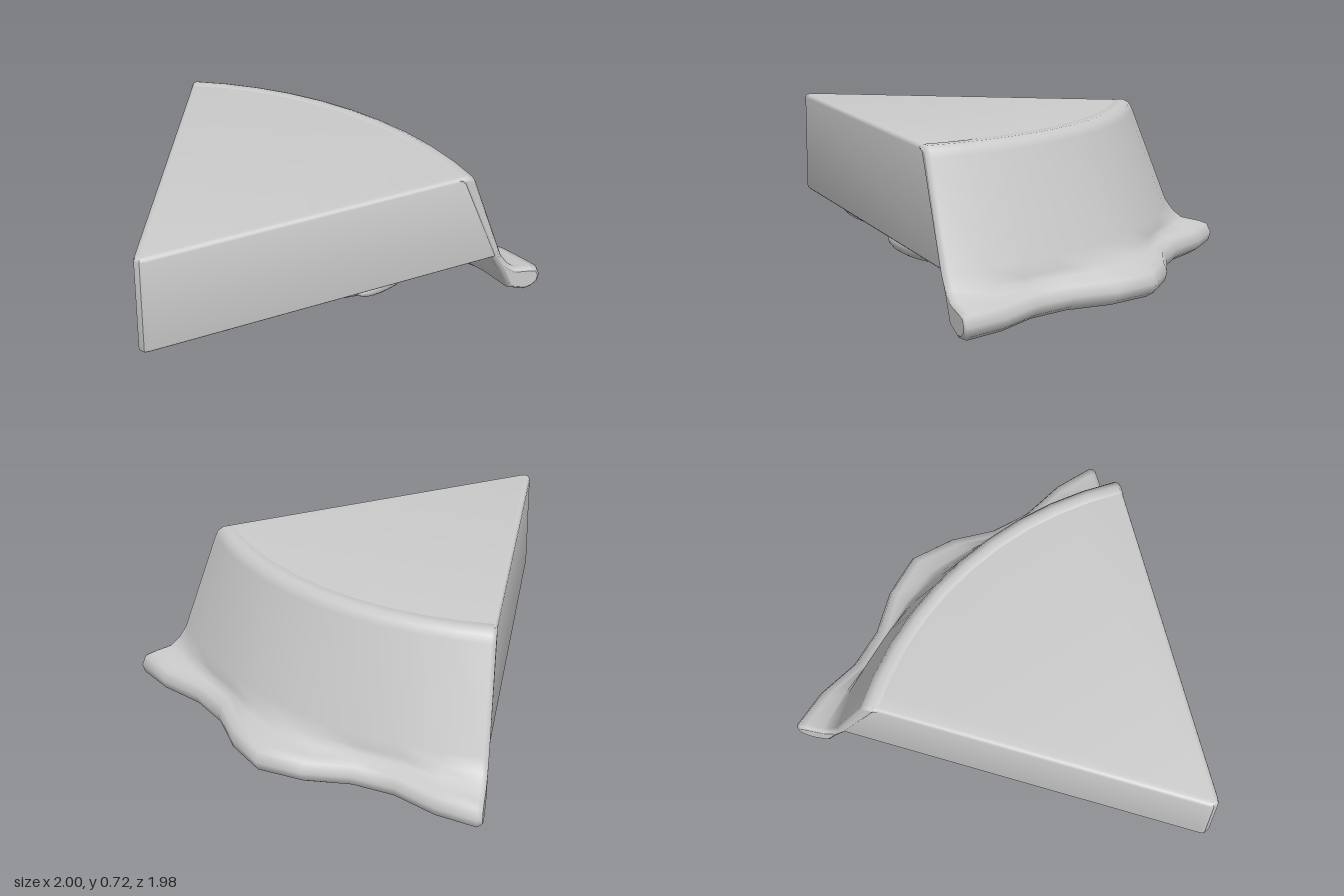
import * as THREE from 'three';
import { toCreasedNormals } from 'three/addons/utils/BufferGeometryUtils.js';

const TIP = -1; // x of the wedge's point, the centre of all arcs
const HALF = Math.PI / 6;
const material = new THREE.MeshStandardMaterial({ color: 0xcccccc });

function addMesh(parent, name, geometry) {
  const mesh = new THREE.Mesh(geometry, material);
  mesh.name = name;
  parent.add(mesh);
  return mesh;
}

// Wedge with soft edges; its outer wall leans out towards the bottom
function fillingGeometry() {
  const R = 1.55, a = HALF - 0.002;
  const shape = new THREE.Shape();
  shape.moveTo(-1, -0.015);
  shape.lineTo(-0.98, -0.03);
  shape.lineTo(TIP + R * Math.cos(a), -R * Math.sin(a));
  shape.absarc(TIP, 0, R, -a, a, false);
  shape.lineTo(-0.98, 0.03);
  shape.lineTo(-1, 0.015);
  const b = 0.018;
  const geo = new THREE.ExtrudeGeometry(shape, {
    depth: 0.48 - 2 * b, bevelThickness: b, bevelSize: b, bevelOffset: -b,
    bevelSegments: 3, curveSegments: 20,
  });
  geo.rotateX(-Math.PI / 2);
  geo.translate(0, 0.235 + b, 0);
  const p = geo.attributes.position;
  for (let i = 0; i < p.count; i++) {
    const x = p.getX(i) - TIP, z = p.getZ(i), r = Math.hypot(x, z);
    if (r < 1.2) continue;
    const k = 1 + ((0.715 - p.getY(i)) / 0.475) * 0.2 / r;
    p.setX(i, TIP + x * k);
    p.setZ(i, z * k);
  }
  return toCreasedNormals(geo, 0.6);
}

// Crust cross-section: radius, height, share of the rim's wave
const PROFILE = [
  [1.50, 0.70, 0], [1.52, 0.716, 0], [1.56, 0.716, 0], [1.588, 0.702, 0], [1.605, 0.67, 0],
  [1.775, 0.23, 0], [1.80, 0.175, 0.2], [1.82, 0.142, 0.5], [1.87, 0.126, 1], [1.91, 0.113, 1],
  [1.93, 0.07, 1], [1.92, 0.03, 1], [1.885, 0.006, 1], [1.84, 0, 1], [1.79, 0.035, 0.5],
  [1.75, 0.14, 0.4], [1.72, 0.24, 0], [1.53, 0.68, 0],
];

// One crust cross-section at an angle, drawn in by inset
function crustRing(angle, inset) {
  const wave = 0.07 * Math.cos(12 * angle);
  const flat = PROFILE.map(([r, y, w]) => new THREE.Vector2(r + w * wave, y));
  const n = flat.length;
  return flat.map((p, j) => {
    const t = flat[(j + 1) % n].clone().sub(flat[(j + n - 1) % n]).normalize();
    return new THREE.Vector2(p.x + t.y * inset, p.y - t.x * inset);
  });
}

function crustGeometry() {
  const deg = Math.PI / 180;
  const stations = [[-30, 0.02], [-29.75, 0.008], [-29.3, 0]];
  for (let d = -24; d <= 24; d += 6) stations.push([d, 0]);
  stations.push([29.3, 0], [29.75, 0.008], [30, 0.02]);
  const positions = [], index = [], n = PROFILE.length;
  const addRing = ([d, inset]) => {
    const start = positions.length / 3, ring = crustRing(d * deg, inset);
    for (const q of ring) {
      positions.push(TIP + q.x * Math.cos(d * deg), q.y, q.x * Math.sin(d * deg));
    }
    return [start, ring];
  };
  stations.forEach(addRing);
  for (let i = 0; i < stations.length - 1; i++) {
    for (let j = 0; j < n; j++) {
      const a = i * n + j, b = i * n + ((j + 1) % n), c = a + n, d = b + n;
      index.push(a, c, b, b, c, d);
    }
  }
  // cut ends
  for (const [station, front] of [[stations[0], false], [stations[stations.length - 1], true]]) {
    const [start, ring] = addRing(station);
    for (const [a, b, c] of THREE.ShapeUtils.triangulateShape(ring, [])) {
      const area = (ring[b].x - ring[a].x) * (ring[c].y - ring[a].y)
        - (ring[b].y - ring[a].y) * (ring[c].x - ring[a].x);
      if ((area > 0) === front) index.push(start + a, start + b, start + c);
      else index.push(start + a, start + c, start + b);
    }
  }
  const geo = new THREE.BufferGeometry();
  geo.setAttribute('position', new THREE.Float32BufferAttribute(positions, 3));
  geo.setIndex(index);
  geo.computeVertexNormals();
  return geo;
}

// Cluster of three overlapping fruit slices: offset x, y, z and radii
const SLICES = [
  [0, 0.2, -0.07, 0.262, 0.095, 0.13],
  [0.02, 0.205, 0.05, 0.25, 0.08, 0.075],
  [0.05, 0.21, 0.13, 0.22, 0.06, 0.06],
];

function fruitCluster(x, z, turn) {
  const cluster = new THREE.Group();
  cluster.name = 'fruitCluster';
  const ball = new THREE.SphereGeometry(1, 20, 12);
  for (const [dx, y, dz, rx, ry, rz] of SLICES) {
    const slice = addMesh(cluster, 'fruitSlice', ball);
    slice.position.set(dx, y, dz);
    slice.scale.set(rx, ry, rz);
  }
  cluster.position.set(x, 0, z);
  cluster.rotation.y = turn;
  return cluster;
}

export function createModel() {
  const pie = new THREE.Group();
  pie.name = 'pieSlice';
  addMesh(pie, 'filling', fillingGeometry());
  addMesh(pie, 'crust', crustGeometry());
  // fruit under the flat face
  for (const [x, z, turn] of [[-0.485, 0, -0.05], [0.11, 0.38, -0.15], [0.13, -0.37, 0.2], [0.4, 0, 0.08]]) {
    pie.add(fruitCluster(x, z, turn));
  }
  return pie;
}
